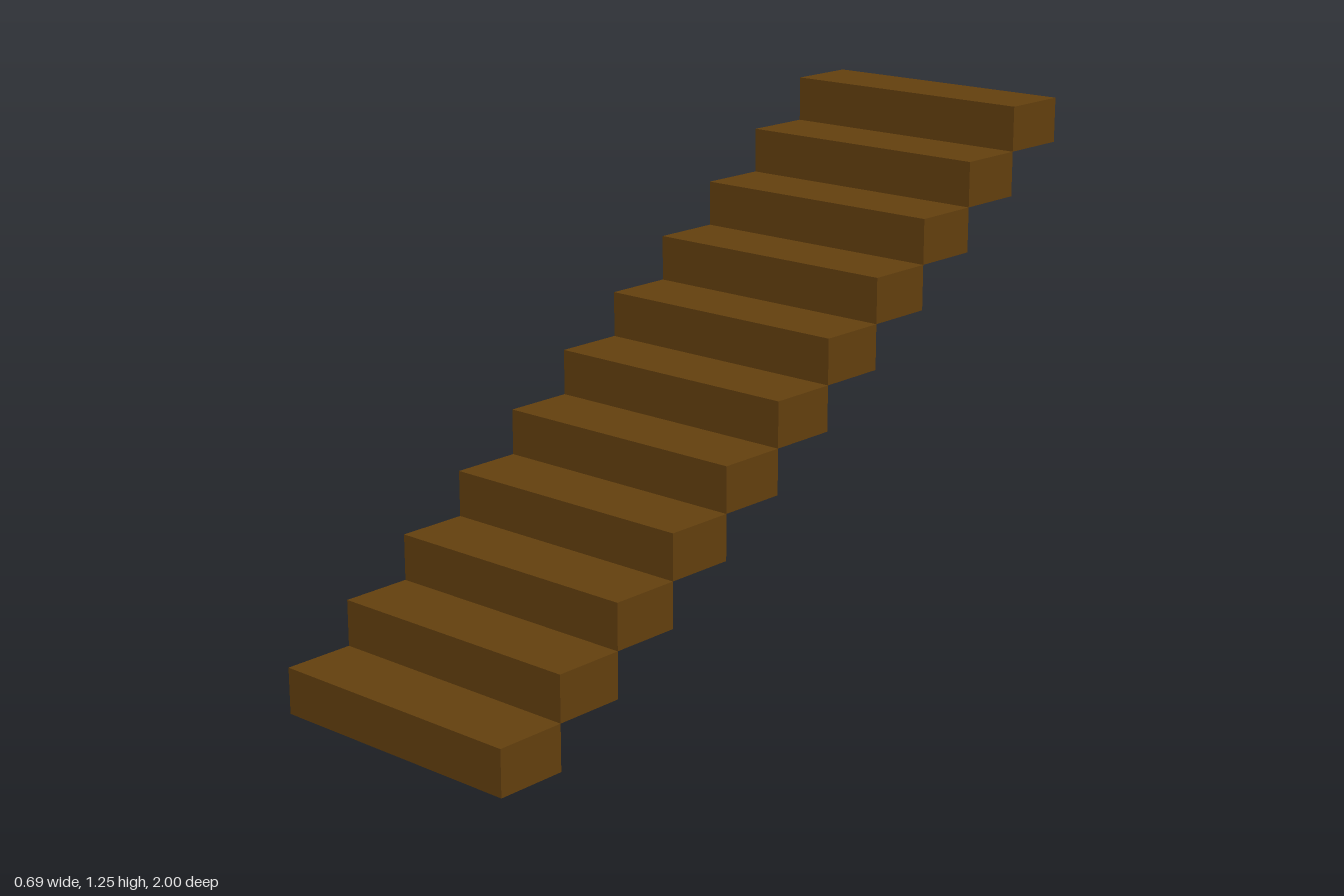
import * as THREE from 'three';

const STEPS = 11;
const WIDTH = 0.69;
const RISE = 1.25 / STEPS;
const RUN = 2 / STEPS;

export function createModel() {
  const group = new THREE.Group();
  group.name = 'staircase';

  const wood = new THREE.MeshStandardMaterial({ color: 0x64400e });
  wood.name = 'brown wood';

  // Solid block steps climbing from the front (+z) to the back, meeting edge to edge
  const block = new THREE.BoxGeometry(WIDTH, RISE, RUN);
  for (let i = 0; i < STEPS; i++) {
    const step = new THREE.Mesh(block, wood);
    step.name = `step${i + 1}`;
    step.position.set(0, (i + 0.5) * RISE, 1 - (i + 0.5) * RUN);
    group.add(step);
  }
  return group;
}
